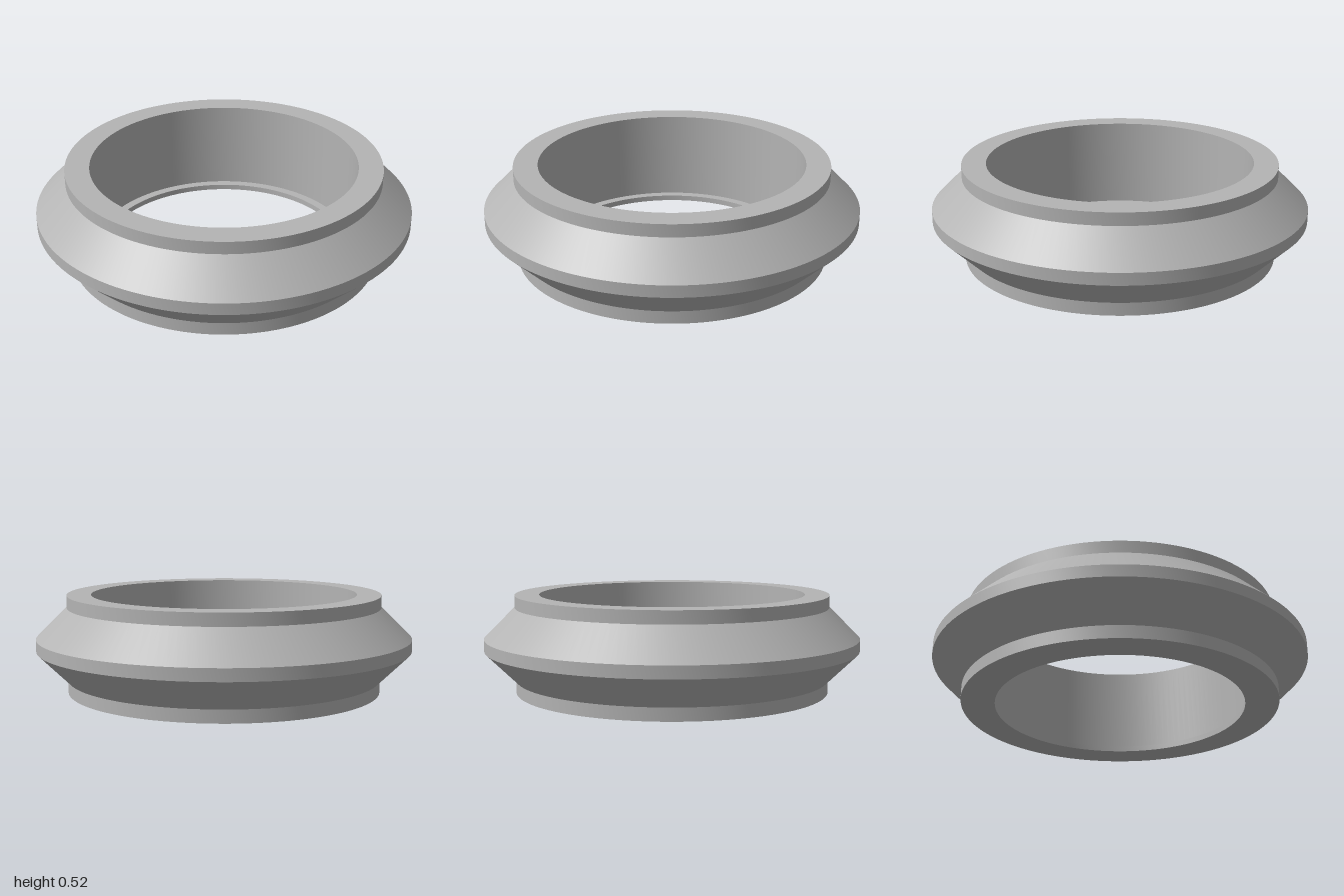
import * as THREE from 'three';
import { toCreasedNormals } from 'three/addons/utils/BufferGeometryUtils.js';

export function createModel() {
  const group = new THREE.Group();
  group.name = 'flangedRing';

  const grey = new THREE.MeshStandardMaterial({ color: 0xb4b4b4 });
  grey.name = 'plain grey';

  // Closed cross-section [radius, height]: up the outside, down the stepped bore
  const profile = [
    [0.66, 0], [0.837, 0],
    [0.837, 0.067], [1, 0.228], [1, 0.291], [0.837, 0.452], // bevelled rim
    [0.837, 0.518], [0.708, 0.518],
    [0.708, 0.03], [0.66, 0.03], // small ledge inside the base
    [0.66, 0],
  ].map(([r, y]) => new THREE.Vector2(r, y));

  const ring = new THREE.Mesh(
    toCreasedNormals(new THREE.LatheGeometry(profile, 128), 0.5), grey);
  ring.name = 'ring';
  group.add(ring);
  return group;
}
